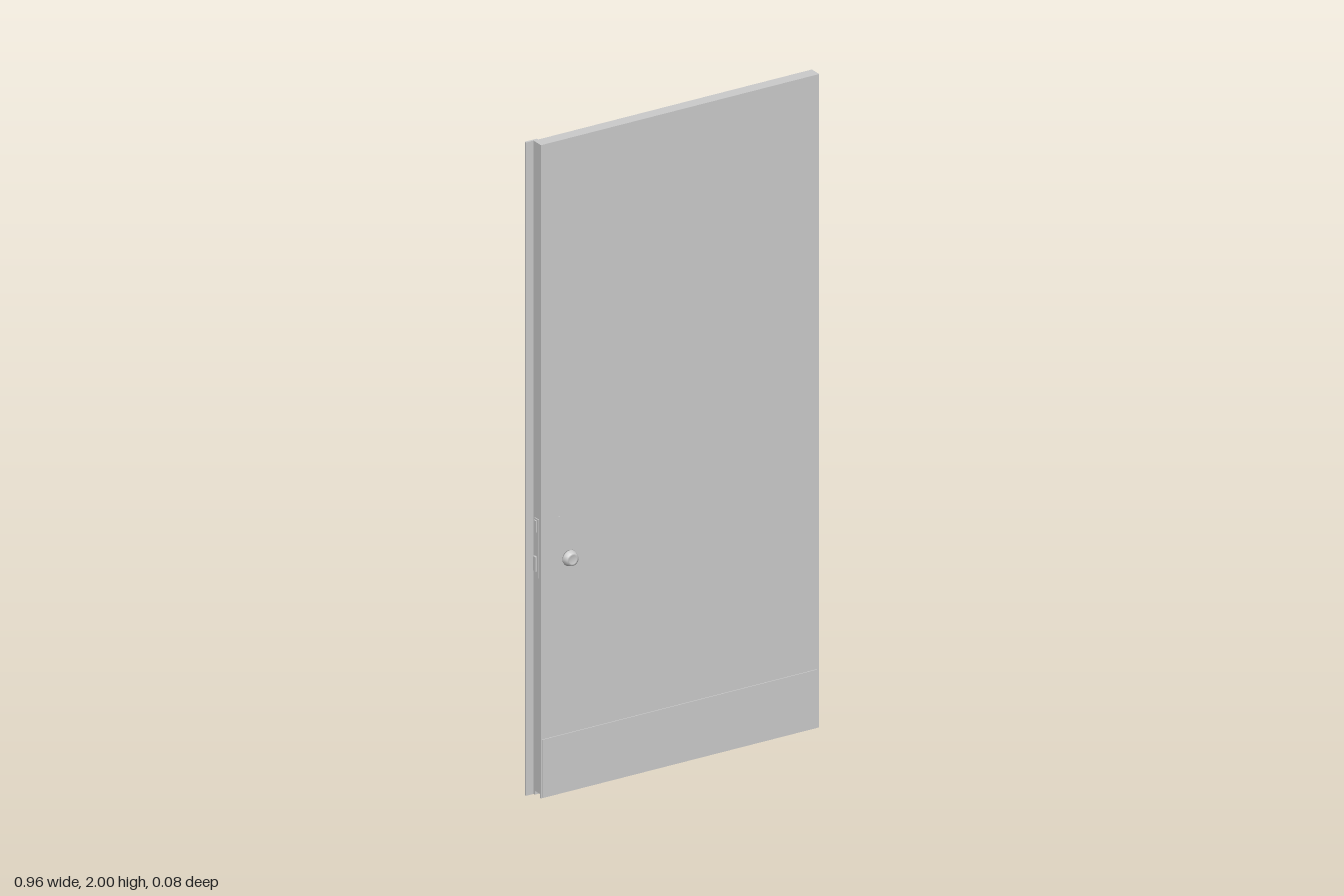
import * as THREE from 'three';

const grey = new THREE.MeshStandardMaterial({ color: 0xcccccc });

export function createModel() {
  const door = new THREE.Group();
  door.name = 'door';

  const add = (name, geometry, x = 0, y = 0, z = 0, parent = door) => {
    const mesh = new THREE.Mesh(geometry, grey);
    mesh.name = name;
    mesh.position.set(x, y, z);
    parent.add(mesh);
    return mesh;
  };
  // Box given by its limits on each axis
  const block = (name, x0, x1, y0, y1, z0, z1, parent) =>
    add(name, new THREE.BoxGeometry(x1 - x0, y1 - y0, z1 - z0),
      (x0 + x1) / 2, (y0 + y1) / 2, (z0 + z1) / 2, parent);

  // Leaf, with a shallow channel along its bottom edge
  block('doorLeaf', -0.455, 0.47, 0.012, 2, -0.021, 0.017);
  block('bottomLipFront', -0.455, 0.47, 0, 0.012, 0.011, 0.017);
  block('bottomLipBack', -0.455, 0.47, 0, 0.012, -0.021, -0.015);

  // Kick plates on both faces
  block('kickPlateFront', -0.452, 0.462, 0.004, 0.18, 0.017, 0.02);
  block('kickPlateBack', -0.438, 0.466, 0.004, 0.18, -0.023, -0.021);

  // Overlapping strip on the latch edge
  block('edgeStrip', -0.48, -0.44, 0, 2, -0.028, -0.021);

  // Hinges: a flat leaf on the back and a knuckle past the edge
  for (const y of [1.8, 0.98, 0.23]) {
    const hinge = new THREE.Group();
    hinge.name = 'hinge';
    hinge.position.y = y;
    door.add(hinge);
    block('hingeLeaf', 0.4, 0.472, -0.062, 0.062, -0.025, -0.021, hinge);
    add('hingeKnuckle', new THREE.CylinderGeometry(0.008, 0.008, 0.045, 12),
      0.472, 0.01, -0.027, hinge);
  }

  // Latch hardware set into the edge
  block('latchPlate', -0.458, -0.455, 0.67, 0.85, -0.012, 0.008);
  block('latchBolt', -0.464, -0.455, 0.69, 0.735, -0.01, 0.002);
  block('deadBolt', -0.462, -0.455, 0.81, 0.845, -0.01, 0.002);

  // Knobs, tapering away from the leaf, and small thumb turns above
  const knobProfile = [[0, 0], [0.024, 0], [0.024, 0.004], [0.019, 0.018], [0.013, 0.0185],
    [0.011, 0.016], [0, 0.016]].map(([r, h]) => new THREE.Vector2(r, h));
  for (const side of [1, -1]) {
    const face = side > 0 ? 0.017 : -0.021;
    const knob = add('knob', new THREE.LatheGeometry(knobProfile, 16), -0.36, 0.715, face);
    knob.rotation.x = side * Math.PI / 2;
    block('thumbTurn', -0.399, -0.393, 0.815, 0.85, face - 0.002, face + 0.002);
  }
  return door;
}
